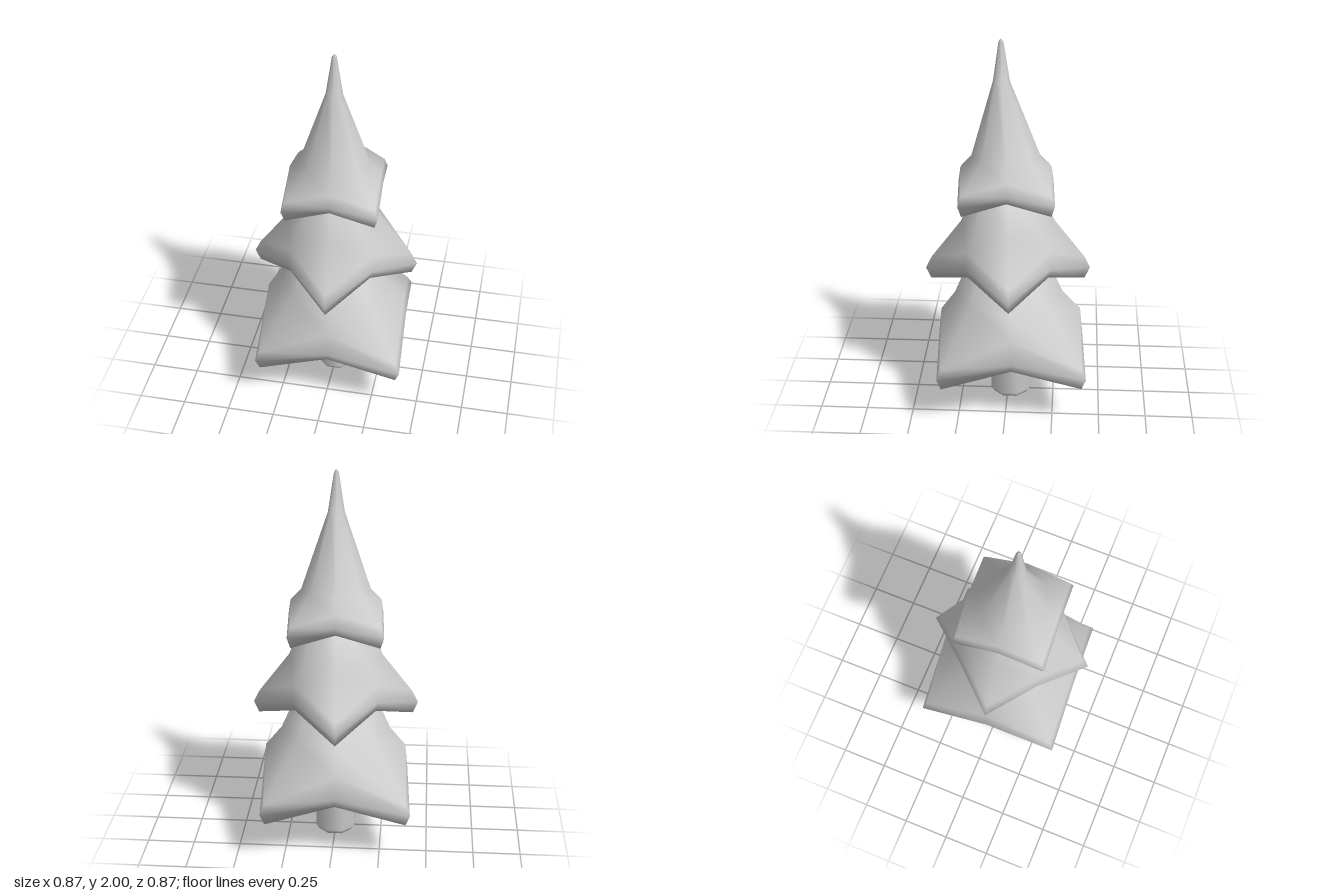
import * as THREE from 'three';

const material = new THREE.MeshStandardMaterial({ color: 0xcccccc });

// Rings run from top to underside: [midY, midR, cornerY, cornerR, centreZ].
// Columns alternate between the four drooping corners and the raised edge middles.
function makeTier(name, rings, cornerDeg) {
  const cols = 8, pos = [], idx = [];
  for (const [midY, midR, cornerY, cornerR, cz] of rings) {
    for (let j = 0; j < cols; j++) {
      const corner = j % 2 === 0;
      const a = THREE.MathUtils.degToRad(cornerDeg + j * 45);
      const r = corner ? cornerR : midR;
      pos.push(r * Math.cos(a), corner ? cornerY : midY, cz + r * Math.sin(a));
    }
  }
  for (let i = 0; i < rings.length - 1; i++) {
    for (let j = 0; j < cols; j++) {
      const k = (j + 1) % cols;
      const a = i * cols + j, b = i * cols + k, c = a + cols, d = b + cols;
      idx.push(a, b, c, b, d, c);
    }
  }
  const geo = new THREE.BufferGeometry();
  geo.setAttribute('position', new THREE.Float32BufferAttribute(pos, 3));
  geo.setIndex(idx);
  geo.computeVertexNormals();
  const mesh = new THREE.Mesh(geo, material);
  mesh.name = name;
  return mesh;
}

export function createModel() {
  const tree = new THREE.Group();
  tree.name = 'firTree';

  // Trunk: eight-sided with a small bevel at the foot
  const profile = [[0, 0], [0.095, 0], [0.112, 0.025], [0.112, 0.42]];
  const trunk = new THREE.Mesh(
    new THREE.LatheGeometry(profile.map(([r, y]) => new THREE.Vector2(r, y)), 8, Math.PI / 8),
    material);
  trunk.position.z = -0.015;
  trunk.name = 'trunk';
  tree.add(trunk);

  // Lower branches
  tree.add(makeTier('lowerBranches', [
    [0.86, 0, 0.86, 0, 0],
    [0.85, 0.18, 0.85, 0.18, 0],
    [0.6, 0.29, 0.61, 0.29, -0.005],
    [0.5, 0.375, 0.33, 0.52, -0.015],
    [0.37, 0.388, 0.28, 0.55, -0.015],
    [0.32, 0.365, 0.215, 0.52, -0.015],
    [0.335, 0.1, 0.32, 0.1, -0.015],
    [0.335, 0, 0.335, 0, -0.015],
  ], 41.7));

  // Middle branches, turned an eighth
  tree.add(makeTier('middleBranches', [
    [1.27, 0, 1.27, 0, 0.01],
    [1.26, 0.15, 1.26, 0.15, 0.01],
    [1.02, 0.245, 1.02, 0.245, 0],
    [0.93, 0.3, 0.81, 0.405, 0],
    [0.84, 0.312, 0.745, 0.437, 0],
    [0.79, 0.295, 0.685, 0.41, 0],
    [0.8, 0.1, 0.79, 0.1, 0],
    [0.8, 0, 0.8, 0, 0],
  ], -3.3));

  // Upper branches and the slightly leaning tip
  tree.add(makeTier('upperBranches', [
    [2, 0, 2, 0, 0.035],
    [1.985, 0.012, 1.985, 0.012, 0.035],
    [1.78, 0.043, 1.78, 0.043, 0.033],
    [1.37, 0.182, 1.39, 0.18, 0.01],
    [1.32, 0.235, 1.25, 0.325, 0.01],
    [1.25, 0.245, 1.2, 0.346, 0.01],
    [1.21, 0.23, 1.14, 0.322, 0.01],
    [1.22, 0.08, 1.21, 0.08, 0.01],
    [1.22, 0, 1.22, 0, 0.01],
  ], 41.7));

  return tree;
}
